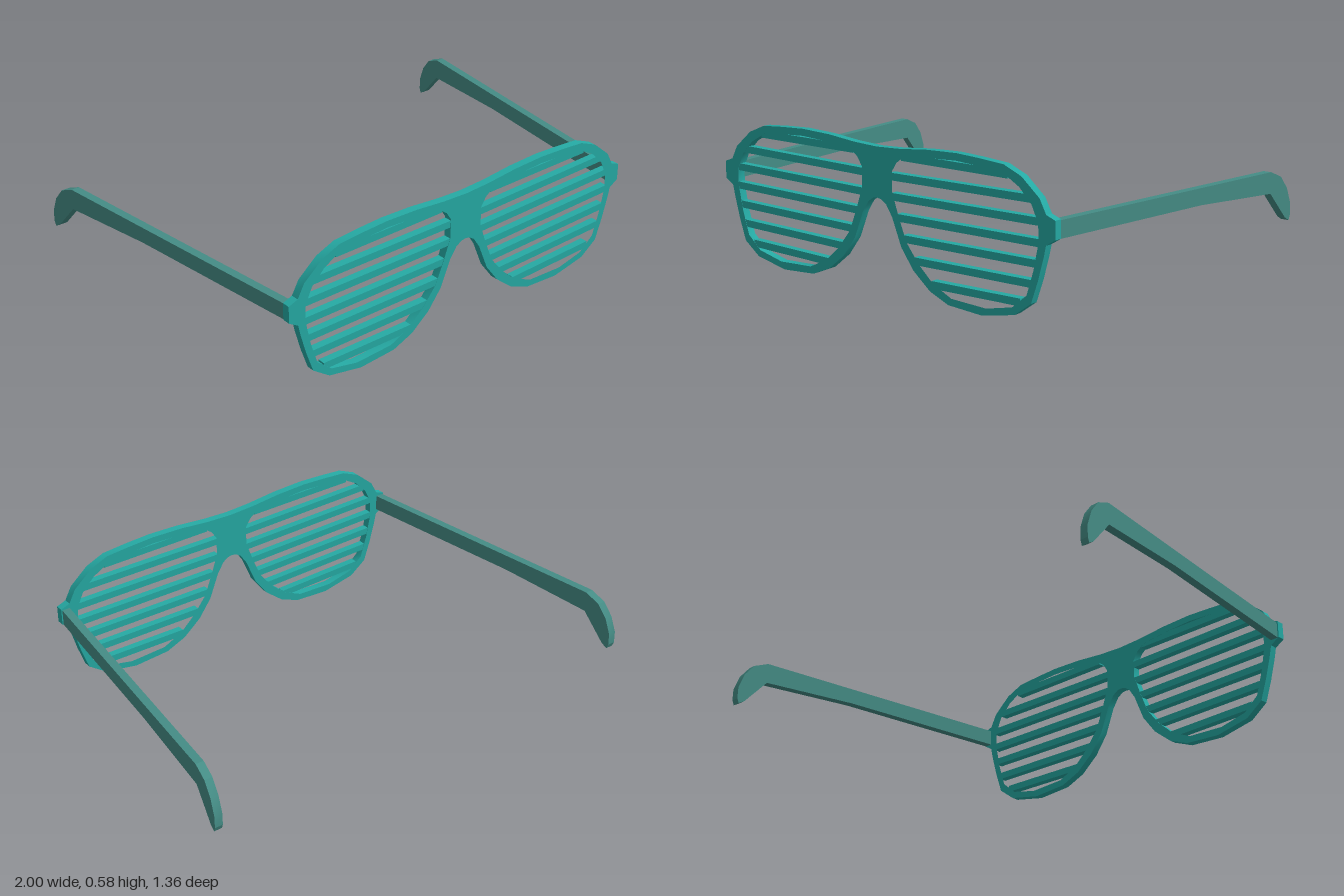
import * as THREE from 'three';
import { toCreasedNormals } from 'three/addons/utils/BufferGeometryUtils.js';

// Half of the frame outline, from the top centre round to the bridge underside
const OUTLINE = [
  [0, 0.565], [0.115, 0.57], [0.25, 0.583], [0.39, 0.588], [0.5, 0.583], [0.61, 0.575], [0.69, 0.542],
  [0.77, 0.475], [0.8, 0.42], [0.84, 0.405], [0.84, 0.335], [0.8, 0.31], [0.79, 0.265],
  [0.765, 0.175], [0.735, 0.088], [0.66, 0.033], [0.51, 0.003], [0.35, 0.013], [0.26, 0.05],
  [0.18, 0.115], [0.12, 0.195], [0.075, 0.305], [0.045, 0.35], [0.02, 0.366], [0, 0.369],
];

// Lens opening on the +x side
const OPENING = [
  [0.135, 0.54], [0.25, 0.553], [0.39, 0.56], [0.6, 0.548], [0.68, 0.503], [0.735, 0.448],
  [0.765, 0.385], [0.767, 0.315], [0.745, 0.21], [0.715, 0.115], [0.65, 0.06], [0.53, 0.033],
  [0.365, 0.04], [0.275, 0.082], [0.205, 0.145], [0.145, 0.22], [0.105, 0.32], [0.077, 0.4],
  [0.077, 0.48], [0.1, 0.515],
];

// Temple side profile as (-z, y)
const TEMPLE = [
  [-0.65, 0.333], [0.12, 0.333], [0.545, 0.312], [0.645, 0.2], [0.67, 0.185], [0.678, 0.205],
  [0.677, 0.255], [0.652, 0.32], [0.61, 0.372], [0.545, 0.4], [-0.65, 0.4],
];

const FRONT = 0.678, BACK = 0.645;
const points = (list, side = 1) => list.map(([x, y]) => new THREE.Vector2(x * side, y));

function extrude(shape, depth) {
  return new THREE.ExtrudeGeometry(shape, { depth, bevelEnabled: false });
}

// Inner and outer x where a level line crosses the lens opening
function openingSpan(y) {
  const xs = [];
  OPENING.forEach(([x0, y0], i) => {
    const [x1, y1] = OPENING[(i + 1) % OPENING.length];
    if ((y0 > y) !== (y1 > y)) xs.push(x0 + (x1 - x0) * (y - y0) / (y1 - y0));
  });
  return [Math.min(...xs), Math.max(...xs)];
}

export function createModel() {
  const model = new THREE.Group();
  model.name = 'shutterGlasses';
  const frameTeal = new THREE.MeshStandardMaterial({ color: 0x25aaa4 });
  frameTeal.name = 'frameTeal';
  const templeTeal = new THREE.MeshStandardMaterial({ color: 0x458d86 });
  templeTeal.name = 'templeTeal';

  function add(name, geometry, material) {
    const mesh = new THREE.Mesh(geometry, material);
    mesh.name = name;
    model.add(mesh);
  }

  // Frame front with bridge, hinge lugs and two openings
  const mirrored = OUTLINE.slice(1, -1).reverse();
  const frame = new THREE.Shape([...points(OUTLINE), ...points(mirrored, -1)]);
  for (const side of [1, -1]) frame.holes.push(new THREE.Path(points(OPENING, side)));
  const frameGeometry = extrude(frame, FRONT - BACK).translate(0, 0, BACK);
  add('frame', toCreasedNormals(frameGeometry, 0.6), frameTeal);

  for (const side of [1, -1]) {
    const label = side > 0 ? 'left' : 'right';

    // Shutter slats, rising slightly towards the outside
    for (let i = 0; i < 7; i++) {
      const y = 0.54 - i * 0.0767, h = 0.0145, rise = i ? 0.004 : 0;
      const [inner, outer] = openingSpan(y);
      const a = inner - 0.012, b = outer + 0.012;
      const slat = new THREE.Shape(points([
        [a, y - rise - h], [b, y + rise - h], [b, y + rise + h], [a, y - rise + h],
      ], side));
      add(`${label}Slat${i + 1}`, extrude(slat, FRONT - BACK - 0.002).translate(0, 0, BACK + 0.001), frameTeal);
    }

    // Temple arm with ear hook, splayed outwards towards the back
    const temple = extrude(new THREE.Shape(points(TEMPLE)), 0.034).rotateY(Math.PI / 2).translate(-0.017, 0, 0);
    const p = temple.attributes.position;
    for (let i = 0; i < p.count; i++) {
      p.setX(i, p.getX(i) + side * (0.818 + (BACK - p.getZ(i)) * 0.125));
    }
    temple.computeVertexNormals();
    add(`${label}Temple`, toCreasedNormals(temple, 0.4), templeTeal);
  }
  return model;
}
